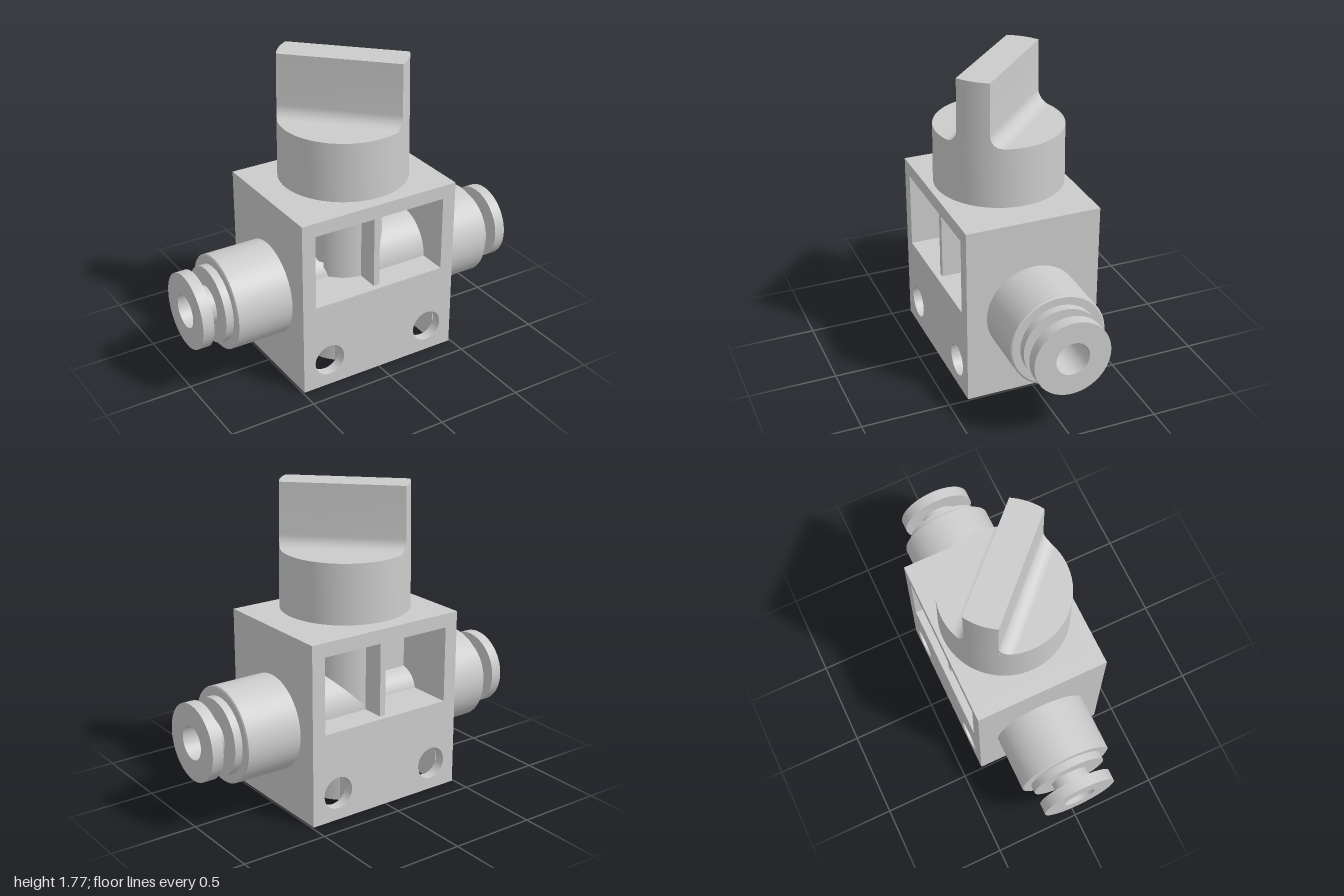
import * as THREE from 'three';
import { toCreasedNormals } from 'three/addons/utils/BufferGeometryUtils.js';

const AXIS = 0.495; // height of the flow axis
const BORE = 0.095;
const mat = new THREE.MeshStandardMaterial({ color: 0xcccccc });
const matDouble = new THREE.MeshStandardMaterial({ color: 0xcccccc, side: THREE.DoubleSide });

function add(parent, name, geometry, material = mat) {
  const mesh = new THREE.Mesh(geometry, material);
  mesh.name = name;
  parent.add(mesh);
  return mesh;
}

// Box given by its minimum and maximum corners
function box(parent, name, x0, x1, y0, y1, z0, z1) {
  const g = new THREE.BoxGeometry(x1 - x0, y1 - y0, z1 - z0);
  g.translate((x0 + x1) / 2, (y0 + y1) / 2, (z0 + z1) / 2);
  return add(parent, name, g);
}

function rectShape(Path, x0, x1, y0, y1) {
  return new Path([[x0, y0], [x1, y0], [x1, y1], [x0, y1]].map(p => new THREE.Vector2(...p)));
}

function circlePath(x, y, r) {
  const p = new THREE.Path();
  p.absarc(x, y, r, 0, Math.PI * 2, true);
  return p;
}

function plate(shape, depth) {
  return toCreasedNormals(
    new THREE.ExtrudeGeometry(shape, { depth, bevelEnabled: false, curveSegments: 32 }), 0.6);
}

// Open tube along x
function tubeX(parent, name, x0, x1, y, r, material) {
  const g = new THREE.CylinderGeometry(r, r, x1 - x0, 64, 1, true);
  g.rotateZ(Math.PI / 2);
  g.translate((x0 + x1) / 2, y, 0);
  return add(parent, name, g, material);
}

function lathe(points) {
  return toCreasedNormals(
    new THREE.LatheGeometry(points.map(p => new THREE.Vector2(...p)), 72), 0.5);
}

// Grip blade: a disc cut by two parallel planes, flaring into a fillet at its foot
function bladeGeometry() {
  const half = 0.095, fillet = 0.075, y0 = 1.41, top = 1.775, arcSteps = 8;
  const levels = [];
  for (let i = 0; i <= 8; i++) {
    const a = (i / 8) * Math.PI / 2;
    levels.push([y0 + fillet * (1 - Math.cos(a)), half + fillet * (1 - Math.sin(a))]);
  }
  // fillet runs from flat on the knob to vertical on the blade
  for (const l of levels) {
    const d = l[0] - y0;
    l[1] = half + fillet - Math.sqrt(Math.max(0, fillet ** 2 - (fillet - d) ** 2));
  }
  levels.push([top, half]);
  const pos = [], idx = [], n = 2 * (arcSteps + 1);
  for (const [y, h] of levels) {
    const r = 0.361 - 0.006 * (y - y0) / (top - y0);
    const a = Math.asin(h / r);
    for (let end = 0; end < 2; end++) {
      for (let j = 0; j <= arcSteps; j++) {
        const t = Math.PI / 4 + end * Math.PI - a + (2 * a * j) / arcSteps;
        pos.push(r * Math.cos(t), y, r * Math.sin(t));
      }
    }
  }
  for (let i = 0; i < levels.length - 1; i++) {
    for (let j = 0; j < n; j++) {
      const a = i * n + j, b = i * n + (j + 1) % n;
      idx.push(a, a + n, b, b, a + n, b + n);
    }
  }
  const last = (levels.length - 1) * n, centre = pos.length / 3;
  pos.push(0, top, 0);
  for (let j = 0; j < n; j++) idx.push(centre, last + (j + 1) % n, last + j);
  const g = new THREE.BufferGeometry();
  g.setAttribute('position', new THREE.Float32BufferAttribute(pos, 3));
  g.setIndex(idx);
  return toCreasedNormals(g, 0.5);
}

export function createModel() {
  const model = new THREE.Group();
  model.name = 'handValve';

  // Housing: front and back walls with window and mounting holes
  const housing = new THREE.Group();
  housing.name = 'housing';
  model.add(housing);
  const face = rectShape(THREE.Shape, -0.49, 0.49, 0, 1.04);
  face.holes.push(rectShape(THREE.Path, -0.41, 0.41, 0.52, 0.96));
  for (const s of [-1, 1]) face.holes.push(circlePath(s * 0.325, 0.16, 0.092));
  add(housing, 'frontWall', plate(face, 0.06)).position.z = 0.325;
  add(housing, 'backWall', plate(face, 0.06)).position.z = -0.385;

  // Side walls pierced by the bore, and the top
  const side = rectShape(THREE.Shape, -0.325, 0.325, 0, 1.04);
  side.holes.push(circlePath(0, AXIS, BORE));
  for (const s of [-1, 1]) {
    const wall = add(housing, s > 0 ? 'leftWall' : 'rightWall', plate(side, 0.08));
    wall.rotation.y = Math.PI / 2;
    wall.position.x = s > 0 ? 0.41 : -0.49;
  }
  box(housing, 'topWall', -0.41, 0.41, 0.96, 1.04, -0.325, 0.325);

  // Interior: floor, dividing wall, lower column
  box(housing, 'pocketCeiling', -0.41, 0.41, 0.28, 0.34, -0.325, 0.325);
  box(housing, 'dividingWall', -0.41, 0.41, 0.6, 0.96, -0.02, 0.02);
  const foot = new THREE.CylinderGeometry(0.27, 0.27, 0.3, 64);
  foot.translate(0, 0.15, 0);
  add(housing, 'lowerColumn', foot);
  for (const s of [-1, 1]) {
    const [z0, z1] = s > 0 ? [0.1, 0.325] : [-0.325, -0.1];
    box(housing, 'windowFloor', -0.41, 0.41, 0.34, 0.52, z0, z1);
    box(housing, 'windowRib', -0.018, 0.018, 0.52, 0.96, s > 0 ? 0.2 : -0.35, s > 0 ? 0.35 : -0.2);
    box(housing, 'columnWeb', -0.18, 0.18, 0, 0.28, s > 0 ? 0.19 : -0.33, s > 0 ? 0.33 : -0.19);
  }

  // Valve barrel, left open along x where the bore passes
  const barrel = new THREE.CylinderGeometry(0.22, 0.22, 0.36, 64, 1, true);
  barrel.translate(0, 0.78, 0);
  add(housing, 'valveBarrel', barrel);
  for (const s of [0, 1]) {
    const arc = new THREE.CylinderGeometry(0.22, 0.22, 0.1, 40, 1, true,
      s * Math.PI - 1.08, 2.16);
    arc.translate(0, 0.55, 0);
    add(housing, 'valveBarrelSide', arc);
  }
  tubeX(housing, 'widePipe', 0.02, 0.41, 0.52, 0.22);
  tubeX(housing, 'narrowPipe', -0.41, -0.1, AXIS, 0.13);
  tubeX(housing, 'bore', -1, 1, AXIS, BORE, matDouble);

  // Push-in fittings at both ends
  const profile = [[0.27, 0.48], [0.27, 0.815], [0.262, 0.82], [0.217, 0.82], [0.217, 0.865],
    [0.108, 0.865], [0.108, 0.935], [0.217, 0.935], [0.217, 1], [BORE, 1]];
  for (const s of [-1, 1]) {
    const fitting = add(model, s > 0 ? 'leftFitting' : 'rightFitting', lathe(profile));
    fitting.rotation.z = -s * Math.PI / 2;
    fitting.position.y = AXIS;
  }

  // Rotary knob with its stem and grip blade
  const knob = new THREE.Group();
  knob.name = 'knob';
  model.add(knob);
  add(knob, 'stem', lathe([[0.252, 1.03], [0.252, 1.08]]));
  add(knob, 'knobBase', lathe([[0, 1.072], [0.365, 1.072], [0.361, 1.41], [0, 1.41]]));
  add(knob, 'gripBlade', bladeGeometry());
  return model;
}
